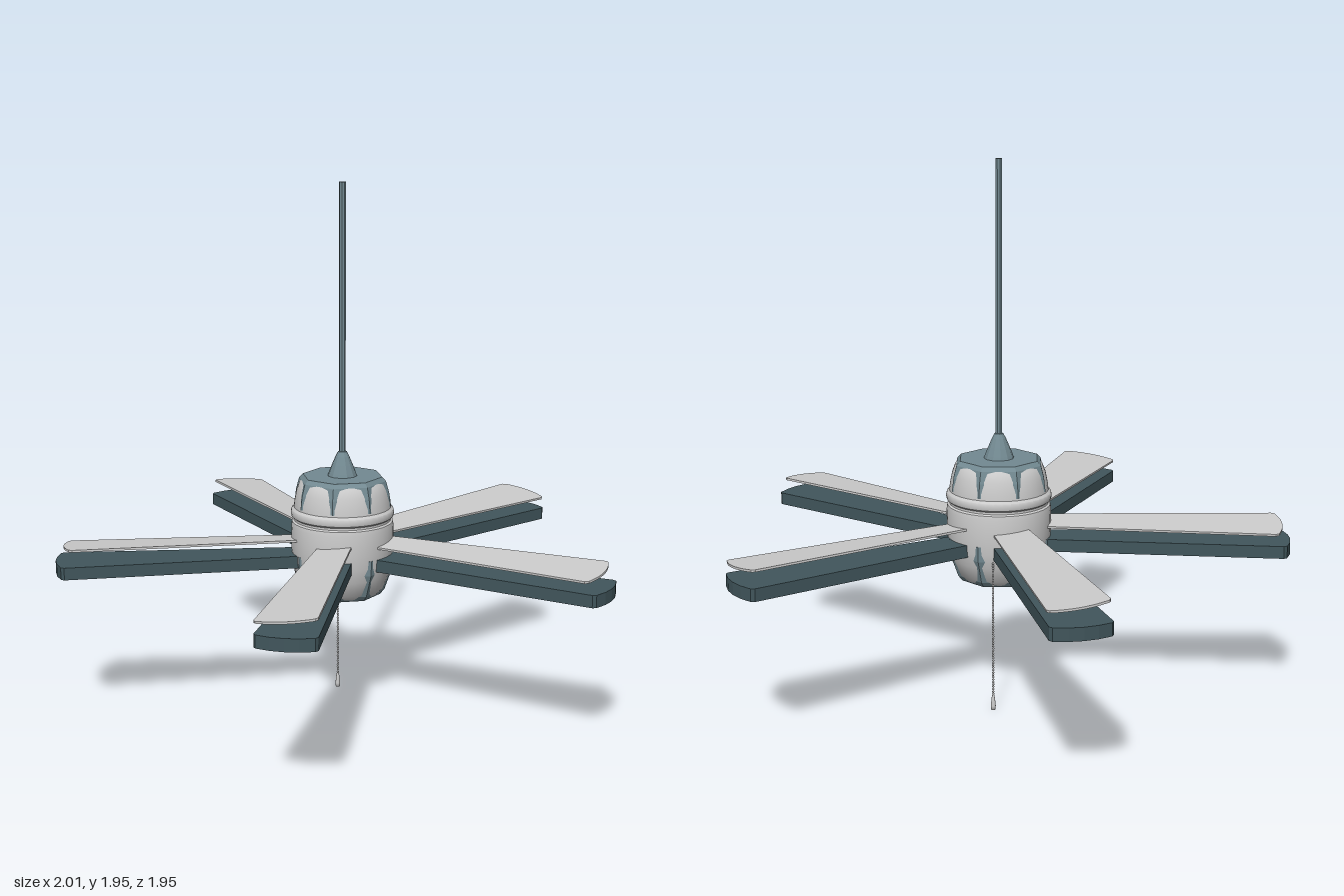
import * as THREE from 'three';
import { mergeGeometries, toCreasedNormals } from 'three/addons/utils/BufferGeometryUtils.js';

const grey = new THREE.MeshStandardMaterial({ color: 0xcccccc });
const slate = new THREE.MeshStandardMaterial({ color: 0x738a92, flatShading: true });
const dark = new THREE.MeshStandardMaterial({ color: 0x41565c, flatShading: true });

function add(parent, name, geometry, material) {
  const mesh = new THREE.Mesh(geometry, material);
  mesh.name = name;
  parent.add(mesh);
  return mesh;
}

function lathe(points, sides) {
  return new THREE.LatheGeometry(points.map(([r, y]) => new THREE.Vector2(r, y)), sides);
}

// Tapered paddle running along +z, with a gently curved tip
function bladeGeometry(corner, thickness, tipSegments) {
  const shape = new THREE.Shape();
  shape.moveTo(-0.06, 0.1);
  shape.lineTo(0.06, 0.1);
  shape.lineTo(0.105, corner - 0.006);
  shape.lineTo(0.097, corner + 0.006);
  shape.quadraticCurveTo(0, corner + 0.044, -0.097, corner + 0.006);
  shape.lineTo(-0.105, corner - 0.006);
  shape.closePath();
  const geo = new THREE.ExtrudeGeometry(shape, { depth: thickness, bevelEnabled: false, curveSegments: tipSegments });
  return geo.translate(0, 0, -thickness / 2).rotateX(Math.PI / 2);
}

export function createModel() {
  const model = new THREE.Group();
  model.name = 'ceilingFan';
  const hub = new THREE.Group();
  hub.name = 'fanBody';
  hub.position.set(-0.007, 0, -0.075);
  model.add(hub);

  // Smooth motor housing with a raised belt
  const housing = lathe([
    [0, 0.447], [0.138, 0.447], [0.154, 0.465], [0.176, 0.52], [0.185, 0.57], [0.188, 0.62],
    [0.188, 0.7], [0.185, 0.715], [0.178, 0.72], [0.178, 0.728], [0.187, 0.735], [0.19, 0.748],
    [0.187, 0.76], [0.178, 0.768], [0.176, 0.79], [0.168, 0.83], [0.157, 0.86], [0.143, 0.876],
    [0.125, 0.88], [0, 0.88]], 40);
  add(hub, 'motorHousing', toCreasedNormals(housing, 0.6), grey);

  // Faceted caps that show through the housing
  add(hub, 'lowerCap', lathe([[0, 0.44], [0.142, 0.44], [0.158, 0.46], [0.188, 0.545], [0.19, 0.6], [0, 0.6]], 8), slate);
  add(hub, 'upperCap', lathe([[0, 0.775], [0.18, 0.775], [0.174, 0.825], [0.162, 0.868], [0.148, 0.883], [0, 0.883]], 8), slate);

  // Bell cover and down rod
  add(hub, 'bellCover', lathe([[0.056, 0.878], [0.05, 0.895], [0.038, 0.925], [0.025, 0.955], [0.016, 0.972], [0, 0.975]], 12), slate);
  add(hub, 'downRod', new THREE.CylinderGeometry(0.012, 0.012, 0.985, 8).translate(0, 1.4525, 0), slate);

  // Five pitched blades, each above a thick flat one
  const thick = bladeGeometry(1.02, 0.045, 4);
  const lengths = [1.02, 0.99, 1.015, 0.99, 0.99];
  lengths.forEach((length, i) => {
    const arm = new THREE.Group();
    arm.name = 'bladePair' + (i + 1);
    arm.rotation.y = THREE.MathUtils.degToRad(1.5 + 72 * i);
    hub.add(arm);
    const blade = add(arm, 'blade', bladeGeometry(length, 0.008, 12), grey);
    blade.position.y = 0.65;
    blade.rotation.z = THREE.MathUtils.degToRad(5.5);
    add(arm, 'lowerBlade', thick, dark).position.y = 0.577;
  });

  // Beaded pull chain with a small weight
  const chain = new THREE.Group();
  chain.name = 'pullChain';
  chain.position.set(-0.063, 0, -0.26);
  model.add(chain);
  const beads = [];
  for (let y = 0.06; y < 0.55; y += 0.009) {
    beads.push(new THREE.SphereGeometry(0.0042, 8, 6).translate(0, y, 0));
  }
  add(chain, 'chainBeads', mergeGeometries(beads), grey);
  add(chain, 'chainWeight', lathe([[0, 0], [0.008, 0.001], [0.009, 0.015], [0.006, 0.045], [0.003, 0.058], [0, 0.06]], 12), grey);

  return model;
}
